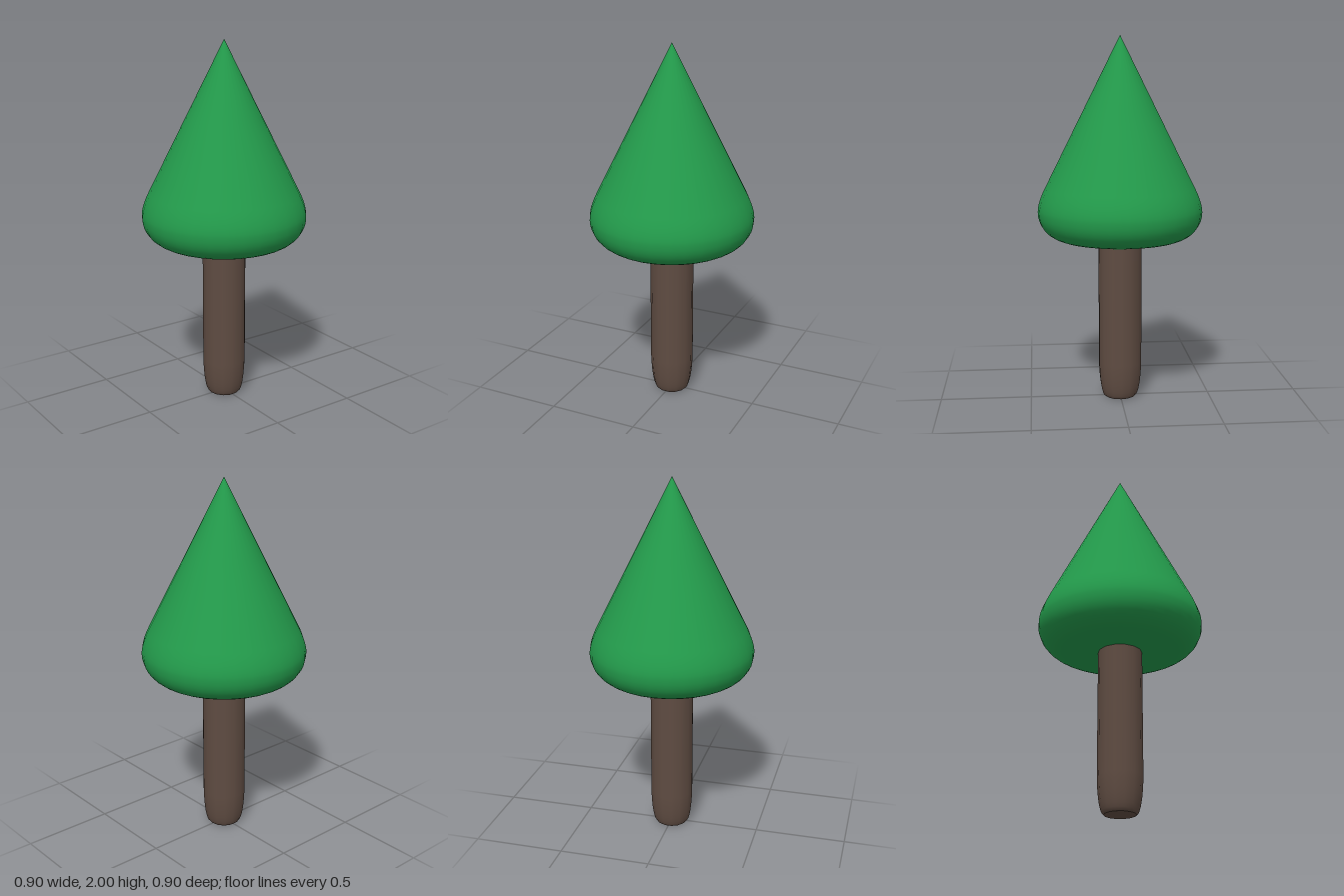
import * as THREE from 'three';

const v = (x, y) => new THREE.Vector2(x, y);

export function createModel() {
  const tree = new THREE.Group();
  tree.name = 'tree';
  const bark = new THREE.MeshStandardMaterial({ color: 0x5f4c42 });
  const leaf = new THREE.MeshStandardMaterial({ color: 0x239a4b });

  const add = (name, geometry, material) => {
    const mesh = new THREE.Mesh(geometry, material);
    mesh.name = name;
    tree.add(mesh);
    return mesh;
  };

  // Trunk: straight post, rounded in at the foot and running up into the foliage
  const sides = 14;
  const foot = new THREE.CubicBezierCurve(v(0.085, 0), v(0.105, 0.005), v(0.118, 0.1), v(0.12, 0.2));
  add('trunk', new THREE.LatheGeometry([...foot.getPoints(8), v(0.12, 0.92)], sides), bark);

  // Flat underside of the trunk, with its corners matching the trunk's sides
  const base = add('trunkBase', new THREE.CircleGeometry(0.085, sides), bark);
  base.rotation.set(Math.PI / 2, 0, Math.PI / 2);

  // Foliage: flat bottom, rounded rim, then a straight cone up to the tip
  const lowerRim = new THREE.CubicBezierCurve(v(0.28, 0.895), v(0.38, 0.895), v(0.45, 0.96), v(0.45, 1.05));
  const upperRim = new THREE.QuadraticBezierCurve(v(0.45, 1.05), v(0.45, 1.1), v(0.41, 1.18));
  const profile = [
    v(0, 0.895),
    ...lowerRim.getPoints(10),
    ...upperRim.getPoints(6).slice(1),
    v(0.205, 1.59),
    v(0, 2),
  ];
  add('foliage', new THREE.LatheGeometry(profile, 32), leaf);

  return tree;
}
